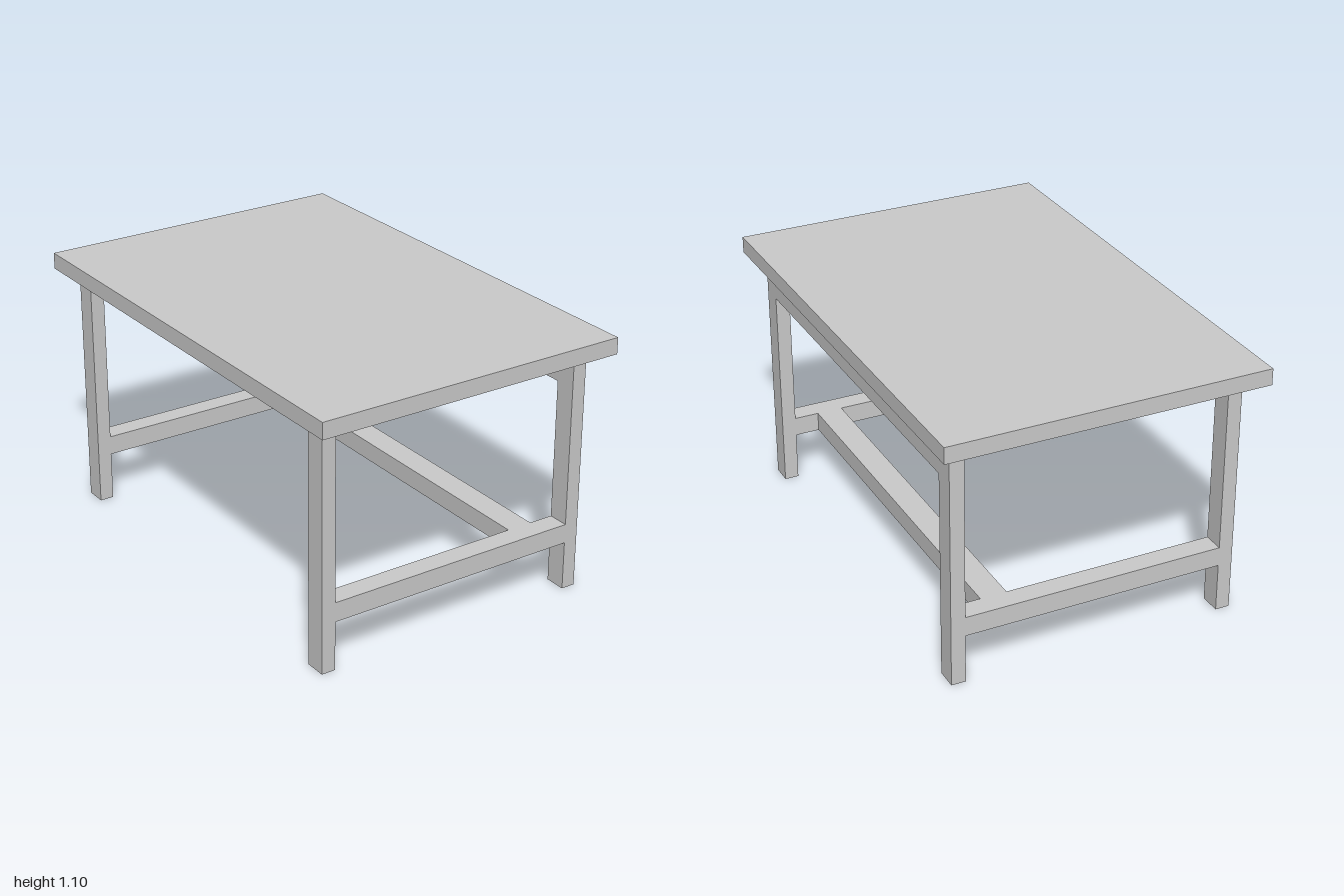
import * as THREE from 'three';

const material = new THREE.MeshStandardMaterial({ color: 0xcccccc });

// Box given by its extents along each axis
function bar(name, [x0, x1], [y0, y1], [z0, z1]) {
  const mesh = new THREE.Mesh(new THREE.BoxGeometry(x1 - x0, y1 - y0, z1 - z0), material);
  mesh.position.set((x0 + x1) / 2, (y0 + y1) / 2, (z0 + z1) / 2);
  mesh.name = name;
  return mesh;
}

const span = (sign, inner, outer) => (sign > 0 ? [inner, outer] : [-outer, -inner]);

export function createModel() {
  const table = new THREE.Group();
  table.name = 'table';

  const topUnderside = 1.027;
  const legIn = { x: 0.55, z: 0.81 };
  const legOut = { x: 0.61, z: 0.9 };
  const railHeight = [0.207, 0.289];

  // Table top
  table.add(bar('tableTop', [-0.675, 0.675], [topUnderside, 1.096], [-1, 1]));

  for (const end of [1, -1]) {
    const endName = end > 0 ? 'front' : 'back';
    const z = span(end, legIn.z, legOut.z);

    // Two legs at each end
    for (const side of [1, -1]) {
      const sideName = side > 0 ? 'Left' : 'Right';
      table.add(bar(`${endName}${sideName}Leg`, span(side, legIn.x, legOut.x), [0, topUnderside], z));
    }

    // Low rail joining the two legs
    table.add(bar(`${endName}Rail`, [-legIn.x, legIn.x], railHeight, z));
  }

  // Long off-centre stretcher between the end rails
  table.add(bar('stretcher', [0.335, 0.445], railHeight, [-legIn.z, legIn.z]));

  // Apron under the top, on one long side only
  table.add(bar('apron', [legIn.x, legOut.x], [0.877, topUnderside], [-legIn.z, legIn.z]));

  return table;
}
